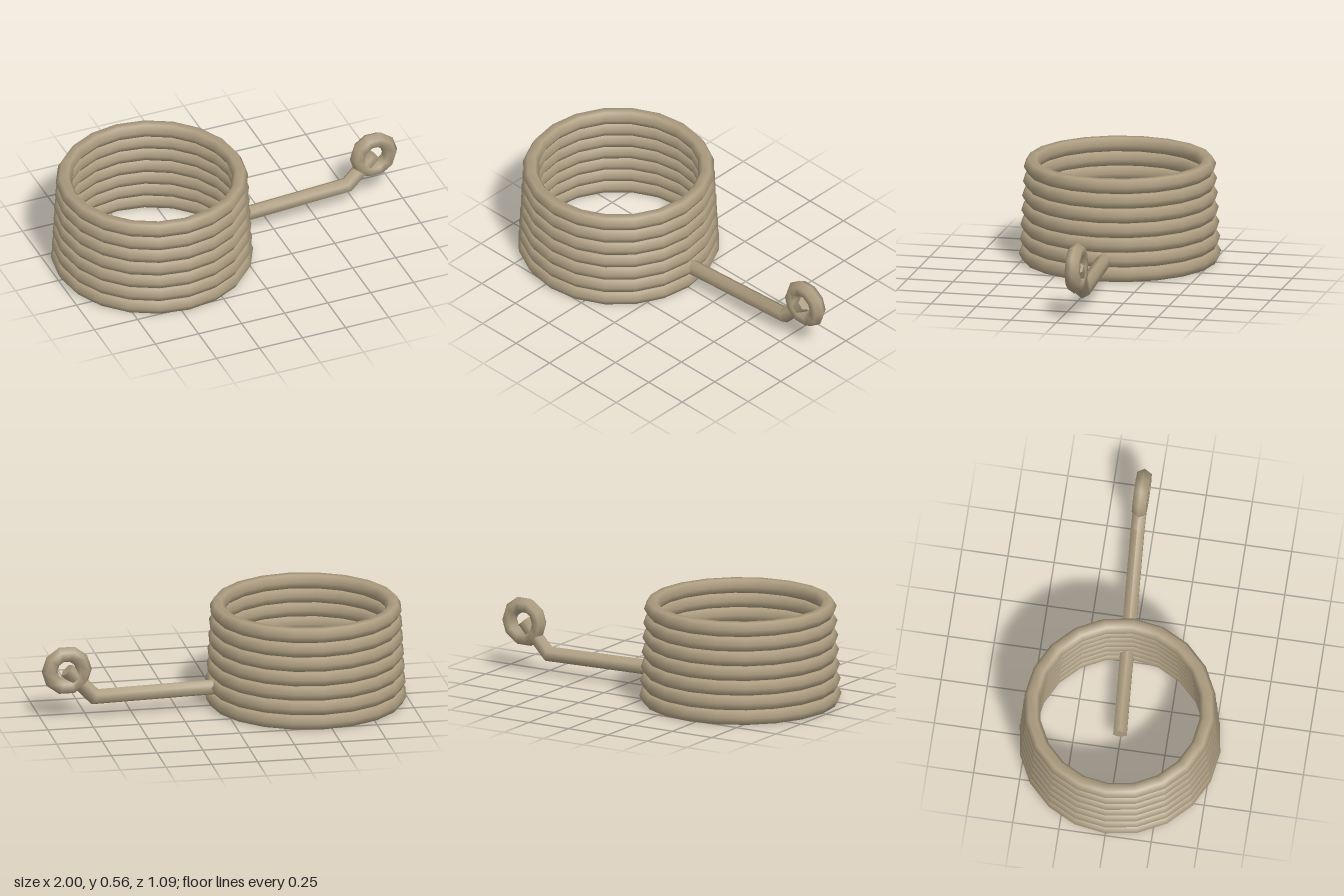
import * as THREE from 'three';
import { toCreasedNormals } from 'three/addons/utils/BufferGeometryUtils.js';

const WIRE = 0.0435;

export function createModel() {
  const group = new THREE.Group();
  const tan = new THREE.MeshStandardMaterial({ color: 0xad9d80 });
  tan.name = 'tan wire';

  const add = (geometry, name) => {
    const mesh = new THREE.Mesh(geometry, tan);
    mesh.name = name;
    group.add(mesh);
    return mesh;
  };

  // Stacked coil: seven hexagonal-section rings, narrowing slightly upwards
  for (let i = 0; i < 7; i++) {
    const ring = new THREE.TorusGeometry(0.5 - i * 0.0043, WIRE, 6, 20);
    ring.rotateX(-Math.PI / 2);
    add(ring, 'coilRing' + (i + 1)).position.set(-0.457, 0.038 + i * 0.08, 0);
  }

  // Bent arm: a six-sided rod whose three rows follow the path, mitred at the bend
  const path = [
    new THREE.Vector3(-0.457, 0.115, 0),
    new THREE.Vector3(0.71, 0.115, -0.079),
    new THREE.Vector3(0.862, 0.274, -0.079),
  ];
  const first = path[1].clone().sub(path[0]).normalize();
  const last = path[2].clone().sub(path[1]).normalize();
  const middle = first.clone().add(last).normalize();
  const directions = [first, middle, last];
  const miter = 1 / middle.dot(first);

  const rod = new THREE.CylinderGeometry(0.042, 0.042, 2, 6, 2);
  const pos = rod.attributes.position;
  const zAxis = new THREE.Vector3(0, 0, 1);
  for (let i = 0; i < pos.count; i++) {
    const row = Math.round(pos.getY(i)) + 1;
    const d = directions[row];
    const up = zAxis.clone().cross(d).normalize();
    const side = d.clone().cross(up);
    const p = path[row].clone()
      .addScaledVector(side, pos.getX(i))
      .addScaledVector(up, pos.getZ(i) * (row === 1 ? miter : 1));
    pos.setXYZ(i, p.x, p.y, p.z);
  }
  add(toCreasedNormals(rod, 1.1), 'arm');

  // Eye loop at the end of the arm
  add(new THREE.TorusGeometry(0.0935, WIRE, 6, 10), 'eyeLoop').position.set(0.863, 0.273, -0.079);

  return group;
}
